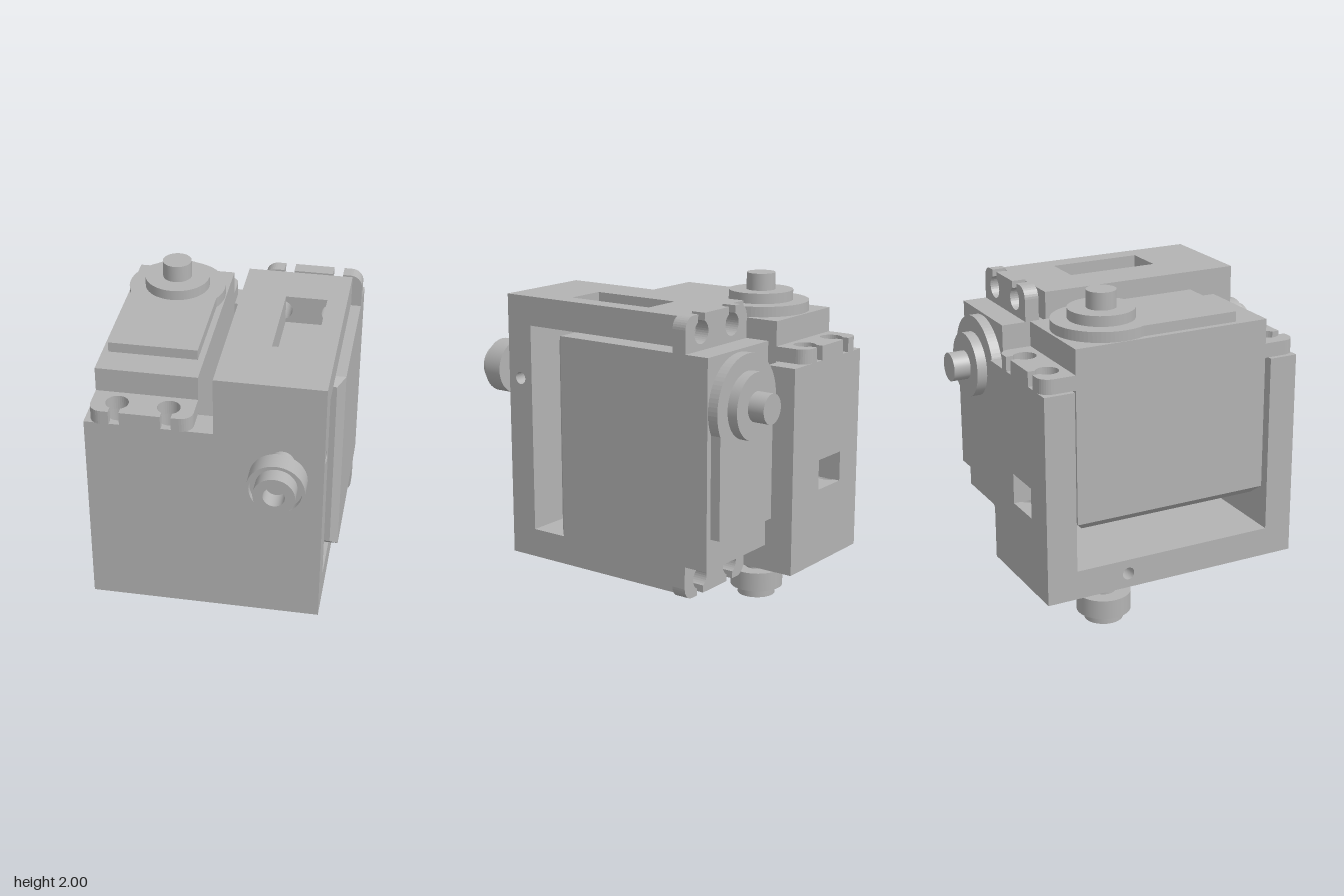
import * as THREE from 'three';

const grey = new THREE.MeshStandardMaterial({ color: 0xb3b3b3 });
grey.name = 'plainGrey';

function add(parent, name, geometry) {
  const m = new THREE.Mesh(geometry, grey);
  m.name = name;
  parent.add(m);
  return m;
}

// box from its limits
function box(x0, x1, y0, y1, z0, z1) {
  return new THREE.BoxGeometry(x1 - x0, y1 - y0, z1 - z0)
    .translate((x0 + x1) / 2, (y0 + y1) / 2, (z0 + z1) / 2);
}

// rectangle with round holes [x, y, radius]
function rect(x0, x1, y0, y1, holes = []) {
  const s = new THREE.Shape();
  s.moveTo(x0, y0).lineTo(x1, y0).lineTo(x1, y1).lineTo(x0, y1).closePath();
  for (const [x, y, r] of holes) s.holes.push(new THREE.Path().absarc(x, y, r, 0, Math.PI * 2, true));
  return s;
}

const extrude = (shape, depth) =>
  new THREE.ExtrudeGeometry(shape, { depth, bevelEnabled: false, curveSegments: 24 });
// shape drawn in (x, z), raised along y
const alongY = (shape, y0, y1) => extrude(shape, y1 - y0).rotateX(Math.PI / 2).translate(0, y1, 0);
// shape drawn in (-z, y), raised along x
const alongX = (shape, x0, x1) => extrude(shape, x1 - x0).rotateY(Math.PI / 2).translate(x0, 0, 0);
const alongZ = (shape, z0, z1) => extrude(shape, z1 - z0).translate(0, 0, z0);

const disc = (r, y0, y1) => new THREE.CylinderGeometry(r, r, y1 - y0, 48).translate(0, (y0 + y1) / 2, 0);

// mounting flange outline: rounded corners and two open keyholes per end
function flangeShape() {
  const half = [];
  const arc = (cx, cz, r, a0, a1, n) => {
    for (let i = 0; i <= n; i++) {
      const a = a0 + (a1 - a0) * i / n;
      half.push(new THREE.Vector2(cx + r * Math.cos(a), cz + r * Math.sin(a)));
    }
  };
  const q = Math.PI / 2, open = Math.asin(0.03 / 0.065);
  arc(-0.22, -0.43, 0.07, -2 * q, -q, 8);
  for (const x of [-0.145, 0.145]) {
    half.push(new THREE.Vector2(x - 0.03, -0.5));
    arc(x, -0.4, 0.065, -q - open, -5 * q + open, 28);
    half.push(new THREE.Vector2(x + 0.03, -0.5));
  }
  arc(0.22, -0.43, 0.07, -q, 0, 8);
  const other = half.map(p => new THREE.Vector2(-p.x, 0.59 - p.y));
  return new THREE.Shape([...half, ...other]);
}

// servo with its shaft on local +y, origin on the shaft axis at the flange underside
function makeServo(name) {
  const g = new THREE.Group();
  g.name = name;
  const c = 0.045;
  add(g, 'servoBody', box(-0.29, 0.29, -0.83 + c, 0.23, -0.3, 0.89));

  // chamfered end cap
  const cap = box(-0.29, 0.29, -0.83, -0.83 + c, -0.3, 0.89);
  const p = cap.attributes.position;
  for (let i = 0; i < p.count; i++) {
    if (p.getY(i) < -0.81) {
      p.setX(i, p.getX(i) - Math.sign(p.getX(i)) * c);
      p.setZ(i, p.getZ(i) + (p.getZ(i) < 0 ? c : -c));
    }
  }
  cap.computeVertexNormals();
  add(g, 'servoEndCap', cap);

  add(g, 'servoFlange', alongY(flangeShape(), 0, 0.085));

  // raised gear cover: round end running into a straight strip
  const cover = new THREE.Shape();
  const a = Math.acos(0.255 / 0.285), z = 0.285 * Math.sin(a);
  cover.moveTo(0.255, 0.71).lineTo(-0.255, 0.71).lineTo(-0.255, z);
  cover.absarc(0, 0, 0.285, Math.PI - a, Math.PI * 2 + a, false);
  cover.closePath();
  add(g, 'gearCover', alongY(cover, 0.23, 0.29));
  add(g, 'shaftHub', disc(0.19, 0.29, 0.35));
  add(g, 'outputShaft', disc(0.085, 0.35, 0.45));

  // cable grommet on the short side
  const s = new THREE.Shape();
  s.absarc(0.045, -0.655, 0.045, -Math.PI / 2, Math.PI / 2, false);
  s.absarc(-0.045, -0.655, 0.045, Math.PI / 2, Math.PI * 1.5, false);
  add(g, 'cableGrommet', alongZ(s, -0.33, -0.29));
  return g;
}

// pivot pin with grooved collar and bored tip, growing along local +y
function makePivot(name) {
  const g = new THREE.Group();
  g.name = name;
  const profile = [[0.07, 0], [0.07, 0.15], [0.16, 0.15], [0.16, 0.265], [0.145, 0.265], [0.145, 0.23],
    [0.115, 0.23], [0.115, 0.32], [0.06, 0.32], [0.06, 0.22], [0, 0.22]];
  // one lathe per straight run keeps the edges crisp
  for (let i = 0; i < profile.length - 1; i++) {
    const pts = [profile[i], profile[i + 1]].map(([x, y]) => new THREE.Vector2(x, y));
    add(g, 'pivotSurface', new THREE.LatheGeometry(pts, 48));
  }
  return g;
}

function makeBracket() {
  const g = new THREE.Group();
  g.name = 'bracket';
  const L = -0.7, M = 0.025, R = 0.64;
  const screws = z => [-0.525, -0.235].map(x => [x, z, 0.06]);

  // back wall with through holes and a cable window
  const back = rect(L, M, -0.9, -0.72, screws(-0.8));
  add(g, 'backWallLower', alongY(back, 0.33, 0.78));
  add(g, 'backWallUpper', alongY(back, 0.96, 1.55));
  add(g, 'backWallSide', box(L, -0.5, 0.78, 0.96, -0.9, -0.72));
  add(g, 'backWallSide', box(-0.26, M, 0.78, 0.96, -0.9, -0.72));

  // front wall: low half with screw holes, tall half with a set screw hole
  add(g, 'frontWallLow', box(L, M, 0.33, 1.25, 0.51, 0.68));
  add(g, 'frontWallLowTop', alongY(rect(L, M, 0.51, 0.68, screws(0.58)), 1.25, 1.55));
  add(g, 'frontWallTall', box(M, 0.41, 0.33, 1.9, 0.51, 0.68));
  add(g, 'frontWallEnd', alongX(rect(-0.68, -0.51, 0.33, 1.9, [[-0.595, 1.41, 0.036]]), 0.41, R));

  // floor
  add(g, 'floorEnd', alongX(rect(-0.51, 0.72, 0.33, 0.5, [[0.4, 0.415, 0.036]]), L, -0.38));
  add(g, 'floorMiddle', box(-0.38, M, 0.33, 0.5, -0.72, 0.51));
  add(g, 'floorSide', box(M, R, 0.33, 0.5, -0.26, 0.51));

  // drilled ends of the floor and roof under the sideways servo
  for (const [name, y0, y1, y] of [['floorDrilledEnd', 0.33, 0.5, 0.43], ['roofDrilledEnd', 1.73, 1.9, 1.81]]) {
    add(g, name, alongZ(rect(M, R, y0, y1, [[0.265, y, 0.06], [0.555, y, 0.06]]), -0.55, -0.26));
  }

  // roof around the cable slot
  add(g, 'roofInnerRail', box(M, 0.285, 1.73, 1.9, -0.26, 0.29));
  add(g, 'roofOuterRail', box(0.525, R, 1.73, 1.9, -0.26, 0.29));
  add(g, 'roofFront', box(M, R, 1.73, 1.9, 0.29, 0.51));
  return g;
}

export function createModel() {
  const model = new THREE.Group();
  model.name = 'twoAxisServoJoint';
  model.add(makeBracket());

  const upright = makeServo('uprightServo');
  upright.position.set(-0.382, 1.55, -0.4);
  model.add(upright);

  // second servo: shaft to the back, long side running down
  const sideways = makeServo('sidewaysServo');
  sideways.quaternion.setFromRotationMatrix(new THREE.Matrix4().makeBasis(
    new THREE.Vector3(-1, 0, 0), new THREE.Vector3(0, 0, -1), new THREE.Vector3(0, -1, 0)));
  sideways.position.set(0.408, 1.41, -0.55);
  model.add(sideways);

  const lower = makePivot('lowerPivot');
  lower.rotation.x = Math.PI;
  lower.position.set(-0.382, 0.325, -0.4);
  model.add(lower);

  const front = makePivot('frontPivot');
  front.rotation.x = Math.PI / 2;
  front.position.set(0.408, 1.41, 0.68);
  model.add(front);
  return model;
}
